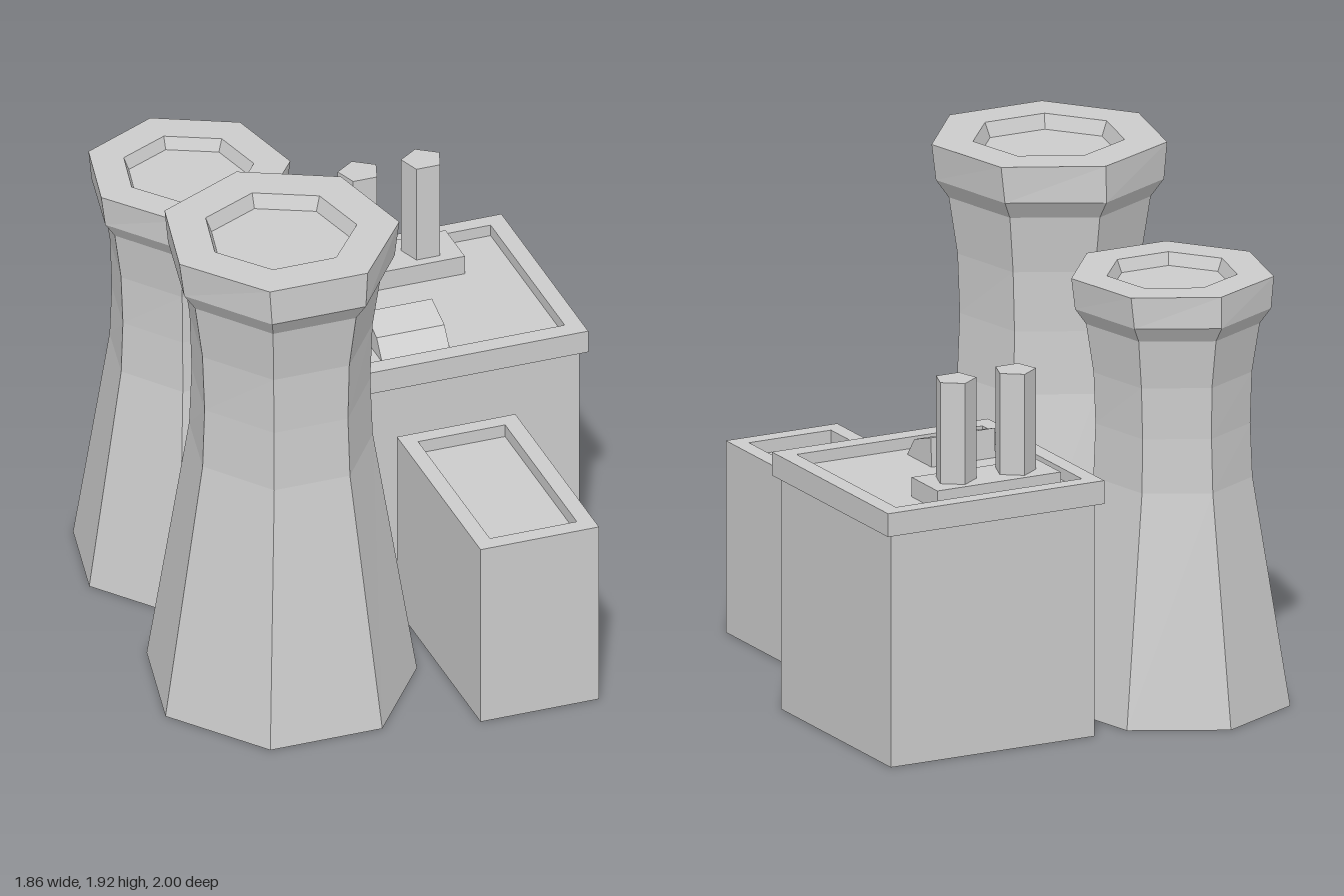
import * as THREE from 'three';

const material = new THREE.MeshStandardMaterial({ color: 0xcccccc, flatShading: true, side: THREE.DoubleSide });

// Joins horizontal rings of corners from the bottom up, closes the last ring, leaves the bottom open.
function loft(name, rings) {
  const points = [];
  const n = rings[0].length;
  for (let r = 0; r < rings.length - 1; r++) {
    const a = rings[r], b = rings[r + 1];
    for (let i = 0; i < n; i++) {
      const j = (i + 1) % n;
      points.push(a[i], a[j], b[j], a[i], b[j], b[i]);
    }
  }
  const top = rings[rings.length - 1];
  for (let i = 1; i < n - 1; i++) points.push(top[0], top[i], top[i + 1]);
  const geometry = new THREE.BufferGeometry().setFromPoints(points);
  geometry.computeVertexNormals();
  const mesh = new THREE.Mesh(geometry, material);
  mesh.name = name;
  return mesh;
}

// Regular polygon ring with one corner pointing back.
function polygon(sides, y, rx, rz = rx) {
  return Array.from({ length: sides }, (_, i) => {
    const a = Math.PI + (i * 2 * Math.PI) / sides;
    return new THREE.Vector3(rx * Math.sin(a), y, rz * Math.cos(a));
  });
}

// Rectangular ring.
function rectangle(y, x0, x1, z0, z1) {
  return [[x0, z1], [x1, z1], [x1, z0], [x0, z0]].map(([x, z]) => new THREE.Vector3(x, y, z));
}

// Seven-sided cooling tower: waisted shaft, flared rim, sunken mouth. Rows are y, x radius, z radius.
function coolingTower(name, z, scale) {
  const profile = [
    [0, 0.51, 0.541], [1.02, 0.345, 0.376], [1.26, 0.336, 0.364], [1.49, 0.345, 0.368],
    [1.71, 0.378, 0.405], [1.78, 0.427, 0.457], [1.92, 0.446, 0.453],
    [1.92, 0.288, 0.288], [1.865, 0.265, 0.265],
  ];
  const tower = loft(name, profile.map(([y, rx, rz]) => polygon(7, y, rx, rz)));
  tower.scale.setScalar(scale);
  tower.position.set(-0.437, 0, z);
  return tower;
}

export function createModel() {
  const model = new THREE.Group();
  model.name = 'powerPlant';

  model.add(coolingTower('largeCoolingTower', 0.43, 1), coolingTower('smallCoolingTower', -0.535, 0.86));

  // Main building with overhanging roof slab and parapet
  model.add(loft('mainBuilding', [
    rectangle(0, 0.045, 0.9, -0.83, 0.03),
    rectangle(0.9, 0.045, 0.9, -0.83, 0.03),
    rectangle(0.9, 0.018, 0.926, -0.857, 0.052),
    rectangle(0.99, 0.018, 0.926, -0.857, 0.052),
    rectangle(0.99, 0.08, 0.86, -0.795, -0.02),
    rectangle(0.945, 0.08, 0.86, -0.795, -0.02),
  ]));

  // Low annex with a sunken roof
  model.add(loft('annex', [
    rectangle(0, 0.142, 0.61, 0.125, 1),
    rectangle(0.74, 0.142, 0.61, 0.125, 1),
    rectangle(0.74, 0.203, 0.547, 0.185, 0.935),
    rectangle(0.69, 0.203, 0.547, 0.185, 0.935),
  ]));

  // Chimneys on their plinth
  model.add(loft('chimneyPlinth', [
    rectangle(0.945, 0.155, 0.673, -0.772, -0.57),
    rectangle(1.02, 0.155, 0.673, -0.772, -0.57),
  ]));
  for (const x of [0.293, 0.543]) {
    const chimney = loft('chimney', [polygon(5, 1.02, 0.08, 0.077), polygon(5, 1.41, 0.08, 0.077)]);
    chimney.position.set(x, 0, -0.67);
    model.add(chimney);
  }

  // Wedge-shaped roof vent, extruded along x
  const side = new THREE.Shape([
    [0.08, 0.945], [0.27, 0.945], [0.265, 1.058], [0.135, 1.018],
  ].map(([x, y]) => new THREE.Vector2(x, y)));
  const ventGeometry = new THREE.ExtrudeGeometry(side, { depth: 0.268, bevelEnabled: false });
  ventGeometry.rotateY(Math.PI / 2);
  const vent = new THREE.Mesh(ventGeometry, material);
  vent.name = 'roofVent';
  vent.position.x = 0.16;
  model.add(vent);

  return model;
}
